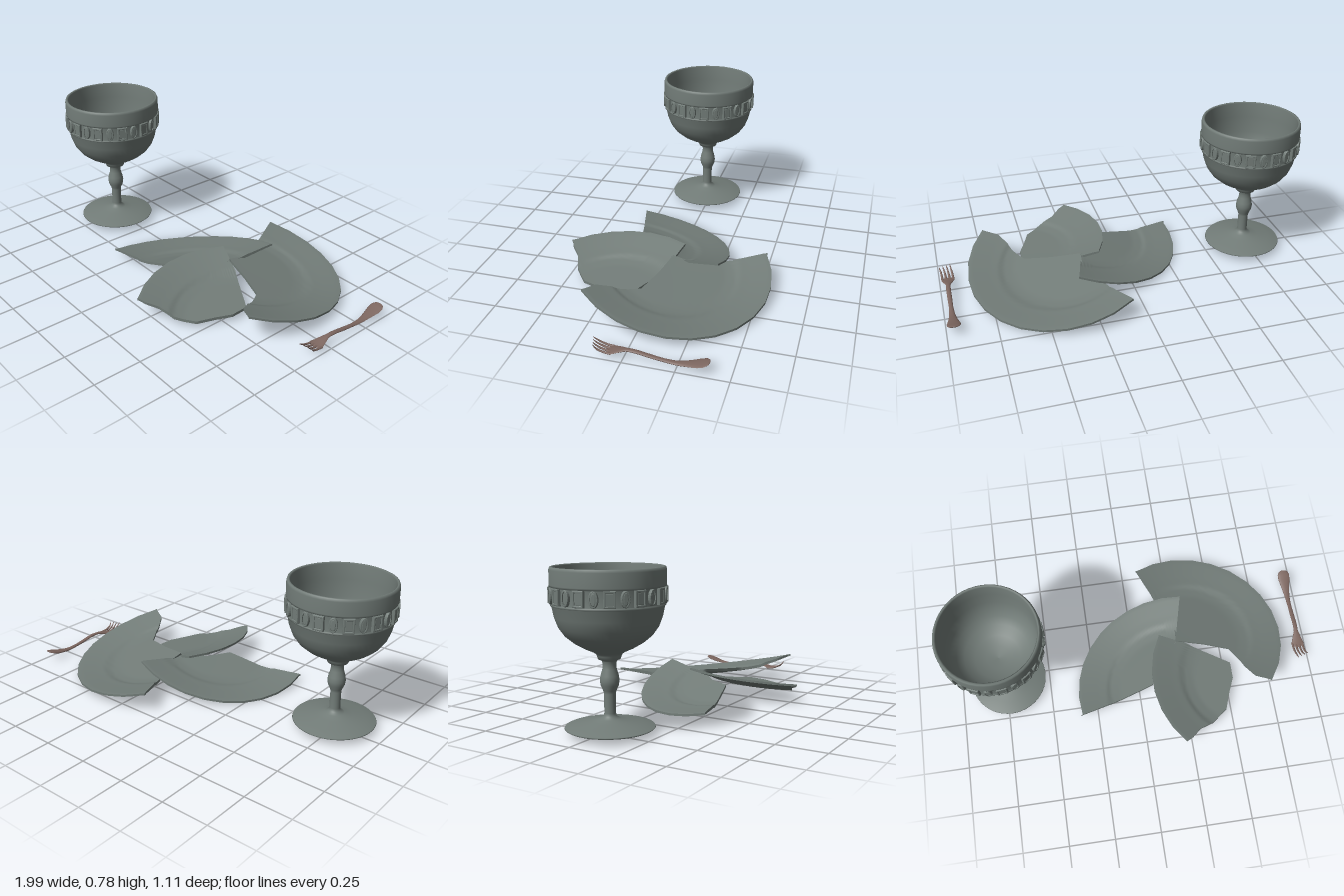
import * as THREE from 'three';
import { mergeGeometries } from 'three/addons/utils/BufferGeometryUtils.js';

const pewter = new THREE.MeshStandardMaterial({ color: 0x727c78, side: THREE.DoubleSide });
const copper = new THREE.MeshStandardMaterial({ color: 0x7c665f });
pewter.name = 'greyPewter';
copper.name = 'dullCopper';

function mesh(name, geometry, material) {
  const m = new THREE.Mesh(geometry, material);
  m.name = name;
  return m;
}

// Grid surface from a rule f(u, v) -> [x, y, z]
function surface(f, nu, nv, flip = false) {
  const pos = [], idx = [];
  for (let j = 0; j <= nv; j++)
    for (let i = 0; i <= nu; i++) pos.push(...f(i / nu, j / nv));
  for (let j = 0; j < nv; j++)
    for (let i = 0; i < nu; i++) {
      const a = j * (nu + 1) + i, b = a + 1, c = a + nu + 1, d = c + 1;
      if (flip) idx.push(a, c, b, b, c, d);
      else idx.push(a, b, c, b, d, c);
    }
  const g = new THREE.BufferGeometry();
  g.setAttribute('position', new THREE.Float32BufferAttribute(pos, 3));
  g.setIndex(idx);
  g.computeVertexNormals();
  return g;
}

// Point on a polyline, t in 0..1 spread evenly over its segments
function along(points, t) {
  const s = t * (points.length - 1);
  const i = Math.min(Math.floor(s + 1e-9), points.length - 2), k = s - i;
  return points[i].map((p, n) => p + (points[i + 1][n] - p) * k);
}

// ---------- goblet ----------
const CUP = [
  [0, 0.04], [0.205, 0.04], [0.21, 0.043], [0.208, 0.047], [0.15, 0.061], [0.09, 0.073],
  [0.05, 0.083], [0.03, 0.094], [0.027, 0.11], [0.027, 0.2], [0.031, 0.215], [0.042, 0.24],
  [0.045, 0.262], [0.042, 0.285], [0.033, 0.315], [0.031, 0.335], [0.034, 0.352], [0.038, 0.357],
  [0.052, 0.362], [0.057, 0.378], [0.062, 0.387], [0.075, 0.396], [0.115, 0.414], [0.16, 0.44],
  [0.2, 0.473], [0.228, 0.512], [0.246, 0.56], [0.256, 0.61], [0.262, 0.612], [0.262, 0.62],
  [0.256, 0.623], [0.257, 0.695], [0.264, 0.698], [0.265, 0.706], [0.265, 0.772],
  [0.261, 0.784], [0.254, 0.786], [0.247, 0.78], [0.245, 0.7], [0.24, 0.61], [0.228, 0.55],
  [0.205, 0.5], [0.17, 0.462], [0.12, 0.435], [0.06, 0.418], [0, 0.413],
];

function outline(Kind, w, h, oval) {
  const s = new Kind();
  if (oval) s.absellipse(0, 0, w, h, 0, Math.PI * 2, true);
  else {
    s.moveTo(-w, -h);
    s.lineTo(w, -h);
    s.lineTo(w, h);
    s.lineTo(-w, h);
    s.closePath();
  }
  return s;
}

// Raised frame with a slightly recessed stone
function jewel(oval) {
  const w = oval ? 0.018 : 0.024, h = 0.034;
  const bevel = { bevelEnabled: true, bevelThickness: 0.004, bevelSize: 0.003, bevelSegments: 2, curveSegments: 10 };
  const frame = outline(THREE.Shape, w, h, oval);
  frame.holes.push(outline(THREE.Path, w - 0.005, h - 0.005, oval));
  const stone = outline(THREE.Shape, w - 0.01, h - 0.01, oval);
  return mergeGeometries([
    new THREE.ExtrudeGeometry(frame, { depth: 0.014, ...bevel }),
    new THREE.ExtrudeGeometry(stone, { depth: 0.011, ...bevel, bevelSize: 0.005 }),
  ]);
}

function goblet() {
  const g = new THREE.Group();
  g.name = 'goblet';
  g.position.set(-0.73, 0, 0.024);
  g.add(mesh('cup', new THREE.LatheGeometry(CUP.map(p => new THREE.Vector2(...p)), 48), pewter));
  const shapes = [jewel(false), jewel(true)];
  for (let i = 0; i < 24; i++) {
    const a = (i + 0.5) * Math.PI / 12 + Math.PI / 2;
    const j = mesh(i % 2 ? 'ovalJewel' : 'squareJewel', shapes[i % 2], pewter);
    j.position.set(Math.sin(a) * 0.252, 0.66, Math.cos(a) * 0.252);
    j.rotation.y = a;
    g.add(j);
  }
  return g;
}

// ---------- broken plate ----------
// Plate section: radius, height below the rim, thickness
const PLATE = [[0, -0.062, 0.015], [0.28, -0.06, 0.015], [0.335, -0.052, 0.016], [0.352, -0.042, 0.017],
  [0.40, -0.031, 0.015], [0.5, -0.005, 0.012], [0.53, 0, 0.011]];

function plateAt(r) {
  let i = 0;
  while (i < PLATE.length - 2 && r > PLATE[i + 1][0]) i++;
  const [a, b] = [PLATE[i], PLATE[i + 1]];
  const k = Math.min(1, (r - a[0]) / (b[0] - a[0]));
  return [a[1] + (b[1] - a[1]) * k, a[2] + (b[2] - a[2]) * k];
}

// Shard spanned between its rim arc and its broken edge, on a tilted plate
function shard(name, { center: [cx, cz], radius, arc, sides, height, tilt, edge }) {
  const rim = [];
  for (let i = 0; i <= sides; i++) {
    const a = THREE.MathUtils.degToRad(arc[0] + (arc[1] - arc[0]) * i / sides);
    rim.push([cx + radius * Math.cos(a), cz + radius * Math.sin(a)]);
  }
  const at = (u, v, depth) => {
    const p = along(rim, u), q = along(edge, u);
    const x = p[0] + (q[0] - p[0]) * v, z = p[1] + (q[1] - p[1]) * v;
    const [h, t] = plateAt(Math.hypot(x - cx, z - cz));
    return [x, height + tilt[0] * (x - cx) + tilt[1] * (z - cz) + h - depth * t, z];
  };
  return mesh(name, mergeGeometries([
    surface((u, v) => at(u, v, 0), 60, 28, true),
    surface((u, v) => at(u, v, 1), 60, 28),
    surface((u, w) => at(u, 0, w), 60, 1),
    surface((u, w) => at(u, 1, w), 60, 1, true),
  ]), pewter);
}

const SHARDS = {
  largePlateShard: {
    center: [0.334, -0.043], radius: 0.518, arc: [-119, 40], sides: 12, height: 0.18, tilt: [-0.17, 0.206],
    edge: [[0.08, -0.5], [0.15, -0.35], [0.2, -0.21], [0.25, -0.11], [0.245, -0.03], [0.4, 0.005],
      [0.54, 0.05], [0.59, 0.13], [0.61, 0.18], [0.65, 0.245], [0.72, 0.28]],
  },
  leftPlateShard: {
    center: [0.168, 0.21], radius: 0.515, arc: [169.5, 286], sides: 10, height: 0.197, tilt: [0.3, 0.15],
    edge: [[-0.345, 0.305], [-0.147, 0.257], [0.02, 0.215], [0.075, 0.2], [0.14, 0.08], [0.24, -0.02], [0.307, -0.283]],
  },
  frontPlateShard: {
    center: [0.59, 0.2], radius: 0.515, arc: [137, 211.5], sides: 6, height: 0.107, tilt: [-0.09, -0.05],
    edge: [[0.21, 0.55], [0.25, 0.53], [0.3, 0.485], [0.38, 0.455], [0.47, 0.385], [0.505, 0.29],
      [0.54, 0.21], [0.54, 0.12], [0.43, 0.055], [0.31, -0.015], [0.15, -0.07]],
  },
};

// ---------- fork ----------
// Oval bar through stations of x, y, z, half width, half thickness
function bar(name, stations) {
  const path = new THREE.CatmullRomCurve3(stations.map(s => new THREE.Vector3(s[0], s[1], s[2])));
  return mesh(name, surface((u, v) => {
    const p = path.getPoint(v), a = u * Math.PI * 2;
    const s = along(stations, v);
    return [p.x + Math.cos(a) * s[3], p.y + Math.sin(a) * s[4], p.z];
  }, 12, stations.length * 4), copper);
}

function fork() {
  const g = new THREE.Group();
  g.name = 'fork';
  g.position.x = 0.96;
  g.add(bar('handle', [
    [0, 0.068, -0.402, 0, 0], [0, 0.066, -0.398, 0.02, 0.004], [0, 0.06, -0.38, 0.034, 0.006],
    [0, 0.05, -0.35, 0.034, 0.007], [0, 0.038, -0.3, 0.023, 0.007], [0, 0.031, -0.25, 0.015, 0.007],
    [0, 0.034, -0.19, 0.011, 0.007], [0, 0.044, -0.12, 0.012, 0.007], [0, 0.054, -0.06, 0.012, 0.007],
    [-0.002, 0.054, -0.015, 0.012, 0.006], [-0.004, 0.046, 0.02, 0.024, 0.006],
    [-0.005, 0.038, 0.05, 0.034, 0.006], [-0.005, 0.036, 0.07, 0.032, 0.005], [-0.005, 0.037, 0.08, 0, 0],
  ]));
  for (let i = 0; i < 4; i++) {
    const o = (i - 1.5) * 0.019;
    const end = 0.152 - i * 0.006;
    g.add(bar('tine', [
      [o - 0.005, 0.036, 0.05, 0.007, 0.005], [o - 0.005, 0.039, 0.085, 0.006, 0.005],
      [o - 0.002, 0.052, 0.118, 0.005, 0.005], [o + 0.003, 0.074, end, 0.002, 0.002], [o + 0.003, 0.075, end + 0.001, 0, 0],
    ]));
  }
  return g;
}

export function createModel() {
  const model = new THREE.Group();
  model.name = 'brokenTableware';
  model.add(goblet(), fork());
  for (const [name, spec] of Object.entries(SHARDS)) model.add(shard(name, spec));
  return model;
}
